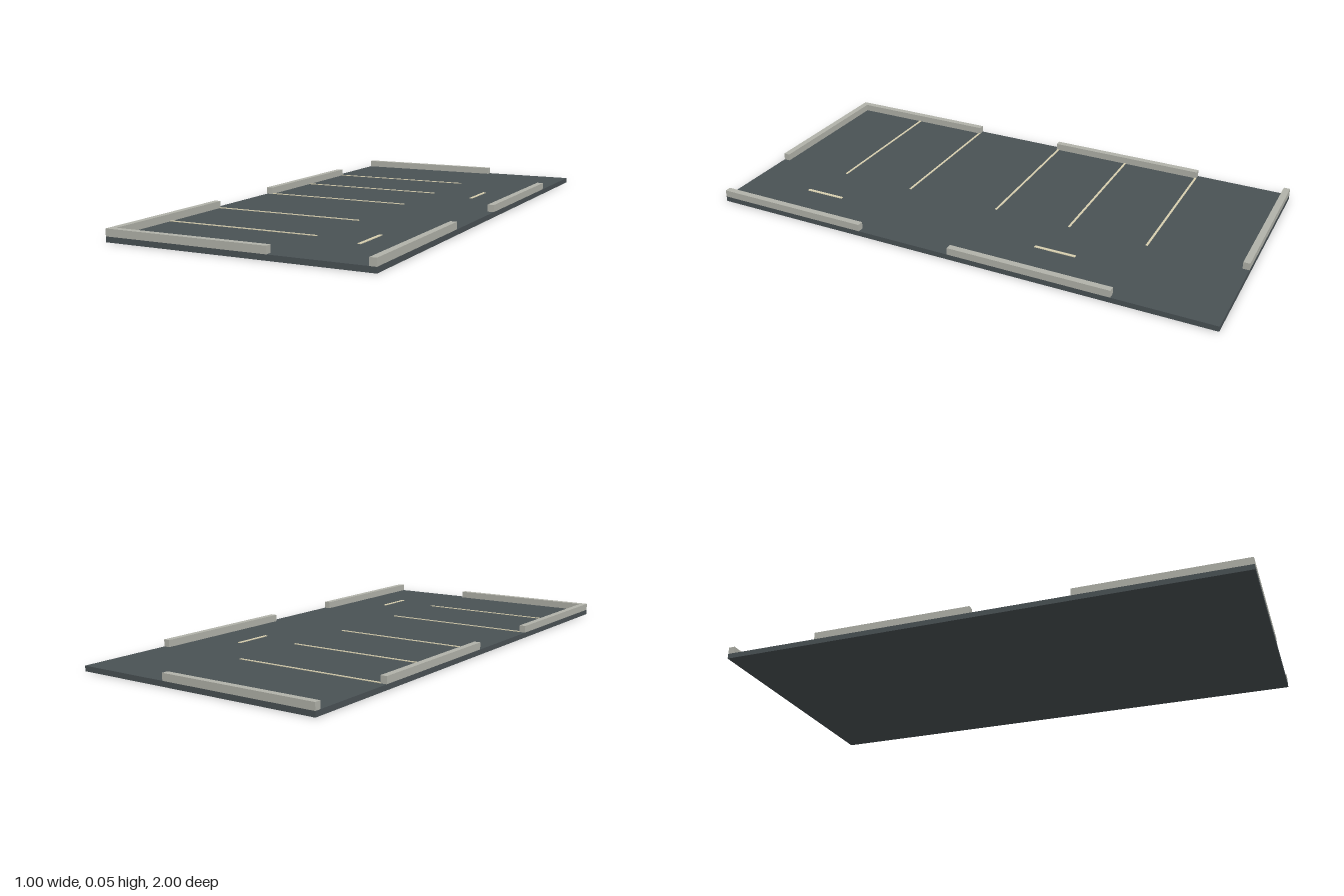
import * as THREE from 'three';

export function createModel() {
  const asphalt = new THREE.MeshStandardMaterial({ name: 'asphalt', color: 0x4a5255 });
  const concrete = new THREE.MeshStandardMaterial({ name: 'concrete', color: 0xb2b3aa });
  const paint = new THREE.MeshStandardMaterial({ name: 'linePaint', color: 0xd8d0b0 });

  const top = 0.02, curbTop = 0.047, curbWidth = 0.025, lineTop = 0.0225;

  // Box given by its extents
  function block(parent, name, material, [x0, x1], [y0, y1], [z0, z1]) {
    const mesh = new THREE.Mesh(new THREE.BoxGeometry(x1 - x0, y1 - y0, z1 - z0), material);
    mesh.position.set((x0 + x1) / 2, (y0 + y1) / 2, (z0 + z1) / 2);
    mesh.name = name;
    parent.add(mesh);
  }

  // One square of the car park, z from -0.5 to 0.5; endSide is its outer end
  function parkingTile(name, endSide) {
    const tile = new THREE.Group();
    tile.name = name;
    block(tile, 'pavement', asphalt, [-0.5, 0.5], [0, top], [-0.5, 0.5]);

    // Side curbs and the end curb
    const rise = [top, curbTop];
    block(tile, 'rightCurb', concrete, [-0.5, -0.5 + curbWidth], rise, [-0.125, 0.5]);
    block(tile, 'leftCurb', concrete, [0.5 - curbWidth, 0.5], rise, [-0.125, 0.5]);
    const endZ = endSide > 0 ? [0.5 - curbWidth, 0.5] : [-0.5, -0.5 + curbWidth];
    const endX = endSide > 0 ? -0.5 + curbWidth : -0.5;
    block(tile, 'endCurb', concrete, [endX, 0.125], rise, endZ);

    // Bay lines
    for (const z of [-0.122, 0.185, 0.492]) {
      if (endSide > 0 && z > 0.4) continue; // this place is taken by the end curb
      block(tile, 'bayLine', paint, [-0.475, 0.125], [top, lineTop], [z - 0.004, z + 0.004]);
    }

    // Lane dash
    block(tile, 'laneDash', paint, [0.304, 0.316], [top, lineTop], [0.08, 0.24]);
    return tile;
  }

  const model = new THREE.Group();
  model.name = 'parkingLot';
  for (const side of [-1, 1]) {
    const tile = parkingTile(side > 0 ? 'frontTile' : 'backTile', side);
    tile.position.z = side * 0.5;
    model.add(tile);
  }
  return model;
}
